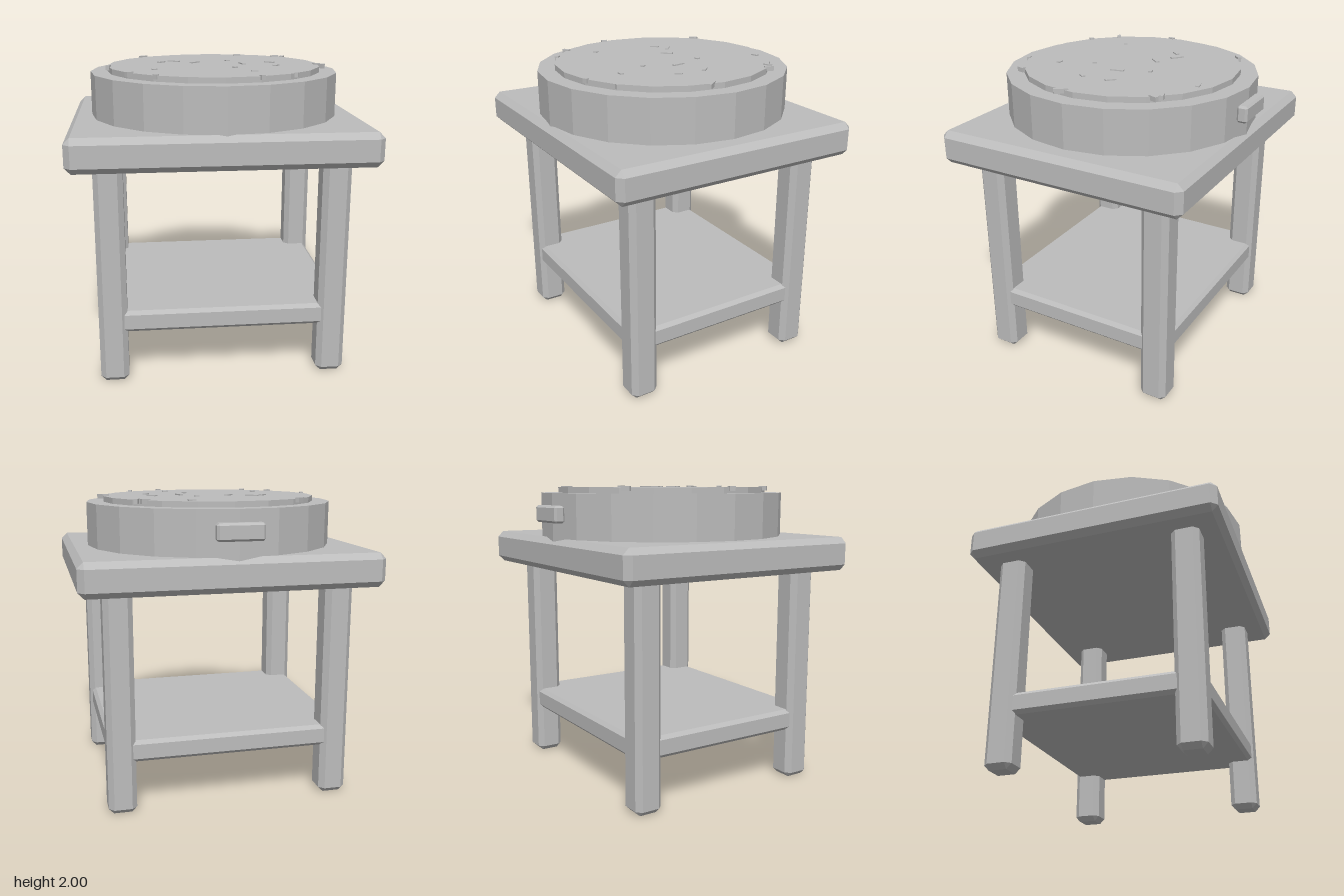
import * as THREE from 'three';
import { ConvexGeometry } from 'three/addons/geometries/ConvexGeometry.js';

const grey = new THREE.MeshStandardMaterial({ color: 0xbcbcbc });
grey.name = 'plain grey';

// Box with every edge cut by a flat chamfer c
function chamferBox(w, h, d, c) {
  const points = [];
  for (const x of [-1, 1]) for (const y of [-1, 1]) for (const z of [-1, 1]) {
    for (let axis = 0; axis < 3; axis++) {
      const inset = [c, c, c];
      inset[axis] = 0;
      points.push(new THREE.Vector3(
        x * (w / 2 - inset[0]), y * (h / 2 - inset[1]), z * (d / 2 - inset[2])));
    }
  }
  return new ConvexGeometry(points);
}

// Twenty-sided drum with flat facets
function drum(radius, height) {
  return new THREE.CylinderGeometry(radius, radius, height, 20).toNonIndexed();
}

export function createModel() {
  const model = new THREE.Group();
  model.name = 'table with round tray';
  const add = (name, geometry, x, y, z, turn = 0) => {
    const mesh = new THREE.Mesh(geometry, grey);
    mesh.name = name;
    mesh.position.set(x, y, z);
    mesh.rotation.y = turn;
    model.add(mesh);
    return mesh;
  };
  const tableZ = 0.0175;

  // Table
  add('tabletop', chamferBox(1.935, 0.22, 1.715, 0.04), 0, 1.557, tableZ);
  for (const sx of [-1, 1]) for (const sz of [-1, 1]) {
    add('leg', chamferBox(0.185, 1.52, 0.185, 0.034), sx * 0.72, 0.76, tableZ + sz * 0.606);
  }
  add('shelf', chamferBox(1.59, 0.145, 1.37, 0.024), 0, 0.418, tableZ);

  // Round tray, its raised filling and the grip at the back
  const round = [['tray', 0.833, 1.6, 1.955], ['filling', 0.718, 1.9, 1.992]];
  for (const [name, radius, bottom, top] of round) {
    const geometry = drum(radius, top - bottom);
    geometry.computeVertexNormals();
    add(name, geometry, 0, (bottom + top) / 2, 0.01);
  }
  add('grip', chamferBox(0.3, 0.11, 0.07, 0.014), 0, 1.822, -0.84);

  // Small chips scattered on the filling: x, z, length, turn
  const chips = [
    [0.24, -0.585, 0.05, 0.2], [-0.47, -0.55, 0.06, 0.7], [0.51, -0.48, 0.06, 0.3],
    [0.56, -0.45, 0.06, 1.2], [-0.26, -0.19, 0.09, -0.65], [-0.35, -0.14, 0.06, 0.85],
    [-0.12, -0.10, 0.08, 0.85], [0.12, -0.19, 0.03, 0.2], [0.20, 0.01, 0.09, 1.75],
    [0.40, -0.06, 0.07, -0.75], [0.41, 0.14, 0.05, 0.9], [0.71, 0.10, 0.09, -0.9],
    [-0.71, 0.08, 0.04, 1.3], [0.12, 0.23, 0.03, -1.0], [-0.41, 0.30, 0.03, 0.5],
    [0.22, 0.445, 0.04, 0], [-0.57, 0.45, 0.05, 0.6], [0.46, 0.58, 0.05, 1.3],
    [-0.41, 0.59, 0.03, -0.8], [0.23, 0.69, 0.03, 0.4],
  ];
  for (const [x, z, length, turn] of chips) {
    add('chip', new THREE.BoxGeometry(length, 0.03, 0.025), x, 1.985, z, turn);
  }
  return model;
}
